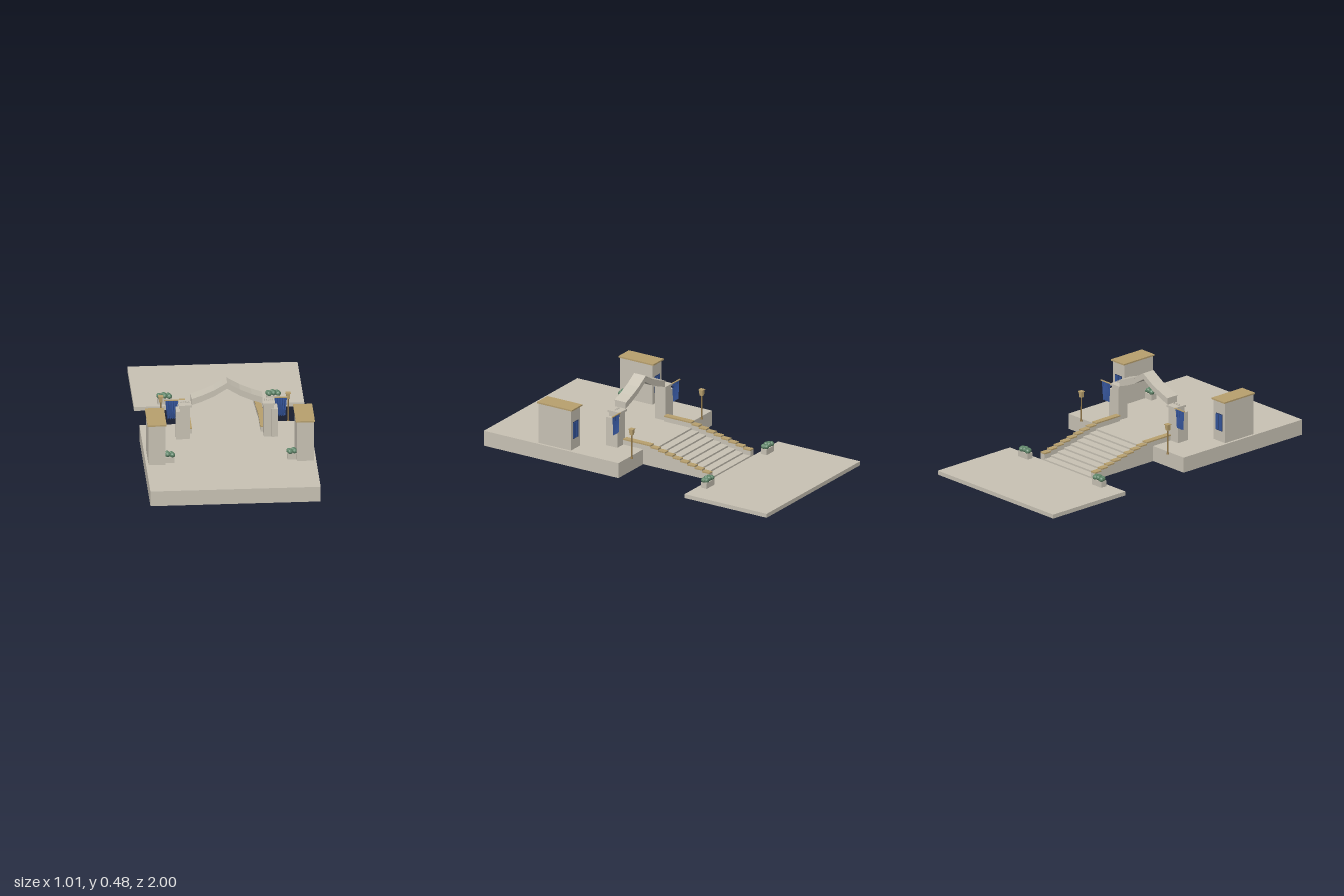
import * as THREE from 'three';

const mat = (name, color, extra = {}) => {
  const m = new THREE.MeshStandardMaterial({ color, ...extra });
  m.name = name;
  return m;
};

export function createModel() {
  const stone = mat('stone', 0xc8c2b4);
  const sandstone = mat('sandstone', 0xb8a06e);
  const blue = mat('blue cloth', 0x34549a, { side: THREE.DoubleSide, flatShading: true });
  const navy = mat('window frame', 0x26375f);
  const brass = mat('lamp post', 0x94794a);
  const green = mat('foliage', 0x5e8468, { flatShading: true });

  const model = new THREE.Group();
  model.name = 'gateTerrace';

  const add = (name, geo, m, x = 0, y = 0, z = 0, parent = model) => {
    const mesh = new THREE.Mesh(geo, m);
    mesh.name = name;
    mesh.position.set(x, y, z);
    parent.add(mesh);
    return mesh;
  };
  // Box given by its extents on each axis
  const box = (name, m, x0, x1, y0, y1, z0, z1, parent = model) =>
    add(name, new THREE.BoxGeometry(Math.abs(x1 - x0), y1 - y0, z1 - z0), m,
      (x0 + x1) / 2, (y0 + y1) / 2, (z0 + z1) / 2, parent);

  // Terraces
  box('upperTerrace', stone, -0.505, 0.505, 0.025, 0.12, 0.048, 1);
  box('lowerTerrace', stone, -0.505, 0.505, 0, 0.025, -1, -0.42);

  // Solid stairs with stepped side walls
  const steps = 9, run = 0.468 / steps, drop = 0.0107;
  for (let i = 0; i < steps; i++) {
    const z1 = 0.048 - i * run, z0 = z1 - run, h = 0.12 - i * drop;
    box('stairStep', stone, -0.204, 0.204, 0.025, h, z0, z1);
    for (const s of [-1, 1]) {
      box('stairWall', stone, s * 0.204, s * 0.238, 0.025, h + 0.029, z0, z1);
      box('stairWallCap', sandstone, s * 0.203, s * 0.239, h + 0.029, h + 0.037, z0, z1);
    }
  }

  // Gate arch: flared gable beam rising to a point
  const half = [[0.211, 0.378], [0.146, 0.401], [0.076, 0.432], [0.027, 0.461]];
  const under = [[0.211, 0.338], [0.146, 0.361], [0.076, 0.392], [0.025, 0.424]];
  const outline = [
    ...half.map(([x, y]) => [-x, y]), [0, 0.478], ...[...half].reverse(),
    ...under, [0, 0.44], ...[...under].reverse().map(([x, y]) => [-x, y]),
  ];
  const prism = (pts, depth) => new THREE.ExtrudeGeometry(
    new THREE.Shape(pts.map(p => new THREE.Vector2(...p))), { depth, bevelEnabled: false });
  add('archBeam', prism(outline, 0.076), stone, 0, 0, 0.189);
  // Thin moulding along the top of the beam
  const top = outline.slice(0, 9);
  const moulding = [...top, ...[...top].reverse().map(([x, y]) => [x, y - 0.007])];
  add('archMoulding', prism(moulding, 0.082), stone, 0, 0.001, 0.186);

  // Pleated banner, narrower and scalloped at the bottom
  const bannerGeometry = () => {
    const n = 20, g = new THREE.PlaneGeometry(1, 1, n, 4), p = g.attributes.position;
    for (let i = 0; i < p.count; i++) {
      const u = p.getX(i), v = 0.5 - p.getY(i);
      const fold = Math.cos((u + 0.5) * Math.PI * 10);
      p.setXYZ(i, u * (0.076 - 0.023 * v), -v * (0.116 + 0.004 * fold), 0.004 * fold * (0.4 + 0.6 * v));
    }
    g.computeVertexNormals();
    return g;
  };

  // Planter with a row of clipped shrubs
  const planter = (x, y, z) => {
    const g = new THREE.Group();
    g.name = 'planter';
    g.position.set(x, y, z);
    model.add(g);
    box('planterBox', stone, -0.041, 0.041, 0, 0.036, -0.02, 0.02, g);
    for (let i = 0; i < 6; i++) {
      const col = (i % 3) - 1, row = i < 3 ? -1 : 1;
      const b = add('shrub', new THREE.IcosahedronGeometry(0.0165, 1), green,
        col * 0.027 + row * 0.003, 0.047 + (col === 0 ? 0.004 : 0), row * 0.008, g);
      b.rotation.set(i, i * 1.7, 0);
    }
  };

  for (const s of [-1, 1]) {
    // Gate pillar with outer buttress, capital and small finials
    box('gatePillar', stone, s * 0.219, s * 0.278, 0.12, 0.325, 0.189, 0.262);
    box('pillarButtress', stone, s * 0.265, s * 0.302, 0.12, 0.3, 0.189, 0.268);
    box('pillarCapital', stone, s * 0.209, s * 0.285, 0.325, 0.338, 0.183, 0.268);
    for (let i = 0; i < 5; i++)
      add('finial', new THREE.CylinderGeometry(0.002, 0.004, 0.012, 6), stone,
        s * (0.225 + i * 0.011), 0.344, 0.226);

    // Level parapet beside the top landing
    box('parapet', stone, s * 0.204, s * 0.238, 0.12, 0.149, 0.048, 0.189);
    box('parapetCap', sandstone, s * 0.203, s * 0.239, 0.149, 0.157, 0.048, 0.189);

    // Hanging banner on a rod
    add('banner', bannerGeometry(), blue, s * 0.323, 0.334, 0.183);
    box('bannerRod', sandstone, s * 0.28, s * 0.367, 0.334, 0.339, 0.179, 0.187);

    // Pavilion with flat roof and a two-pane window
    box('pavilion', stone, s * 0.39, s * 0.49, 0.12, 0.372, 0.394, 0.623);
    box('pavilionRoof', sandstone, s * 0.383, s * 0.496, 0.372, 0.381, 0.383, 0.63);
    box('windowFrame', navy, s * 0.412, s * 0.468, 0.187, 0.293, 0.391, 0.394);
    for (const d of [-1, 1])
      box('windowPane', blue, s * 0.44 + d * 0.003, s * 0.44 + d * 0.025, 0.191, 0.289, 0.388, 0.391);

    // Lamp post with square tapered lantern
    const lx = s * 0.378, lz = 0.037;
    add('lampFoot', new THREE.CylinderGeometry(0.007, 0.009, 0.01, 8), brass, lx, 0.115, lz);
    add('lampPost', new THREE.CylinderGeometry(0.0035, 0.0045, 0.15, 8), brass, lx, 0.19, lz);
    const lantern = add('lantern', new THREE.CylinderGeometry(0.0165, 0.0145, 0.034, 4, 1).toNonIndexed(),
      sandstone, lx, 0.279, lz);
    lantern.rotation.y = Math.PI / 4;
    lantern.geometry.computeVertexNormals();
    box('lanternCap', sandstone, lx - 0.015, lx + 0.015, 0.295, 0.3, lz - 0.015, lz + 0.015);

    planter(s * 0.376, 0.12, 0.58);
    planter(s * 0.323, 0.025, -0.464);
  }

  return model;
}
